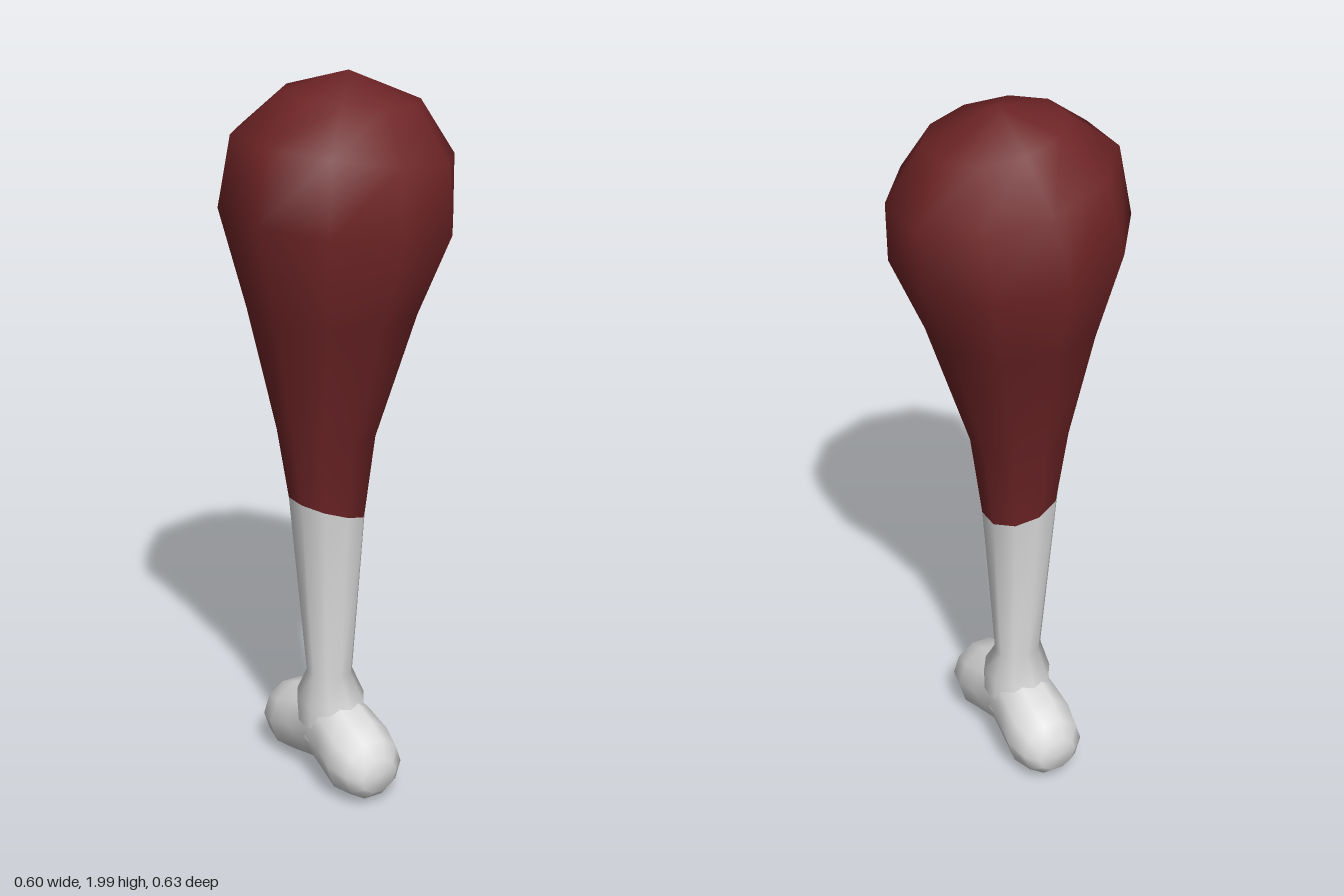
import * as THREE from 'three';
import { mergeVertices } from 'three/addons/utils/BufferGeometryUtils.js';

const SIDES = 10;

// Smooth closed skin through a list of rings; ringPoint(ring, angle) gives [x, y, z]
function loft(rings, ringPoint) {
  const positions = [], index = [];
  rings.forEach((ring, r) => {
    for (let i = 0; i < SIDES; i++) {
      positions.push(...ringPoint(ring, (i / SIDES) * Math.PI * 2));
      if (r === rings.length - 1) continue;
      const a = r * SIDES + i, b = r * SIDES + (i + 1) % SIDES;
      index.push(a, a + SIDES, b, b, a + SIDES, b + SIDES);
    }
  });
  let geometry = new THREE.BufferGeometry();
  geometry.setAttribute('position', new THREE.Float32BufferAttribute(positions, 3));
  geometry.setIndex(index);
  geometry = mergeVertices(geometry, 1e-5);
  geometry.computeVertexNormals();
  return geometry;
}

// Upright ring [y, centre x, half width x, half depth z, tilt]; tilt raises the -x side
const upright = ([y, cx, rx, rz, tilt], angle) => {
  const a = angle + Math.PI / SIDES;
  return [cx + rx * Math.cos(a) * 1.03, y - tilt * Math.cos(a), rz * Math.sin(a)];
};

// Ring across the knuckle [z, centre x, half width x, bottom y, top y]
const across = ([z, cx, rx, y0, y1], a) =>
  [cx + rx * Math.cos(a), (y0 + y1) / 2 + (y1 - y0) / 2 * Math.sin(a) * 1.03, z];

export function createModel() {
  const group = new THREE.Group();
  const meatColour = new THREE.MeshStandardMaterial({ color: 0x6e2426 });
  meatColour.name = 'roastedBrown';
  const boneColour = new THREE.MeshStandardMaterial({ color: 0xdcdcdc });
  boneColour.name = 'boneWhite';

  const add = (name, geometry, material) => {
    const mesh = new THREE.Mesh(geometry, material);
    mesh.name = name;
    group.add(mesh);
  };

  // Meat: narrow cuff swelling to a rounded, slightly tilted top
  add('meat', loft([
    [0.82, -0.047, 0.102, 0.105, 0.035],
    [1.04, -0.047, 0.133, 0.133, 0.015],
    [1.39, -0.025, 0.225, 0.23, 0.005],
    [1.63, -0.015, 0.302, 0.315, 0.04],
    [1.81, 0.006, 0.292, 0.265, 0.05],
    [1.935, 0.028, 0.182, 0.165, 0.025],
    [2.0, 0.02, 0, 0, 0],
  ], upright), meatColour);

  // Bone shaft, flaring where it meets the knuckle
  add('boneShaft', loft([
    [0.12, -0.035, 0.085, 0.1, 0],
    [0.24, -0.037, 0.09, 0.105, 0],
    [0.32, -0.04, 0.064, 0.058, 0.005],
    [0.82, -0.047, 0.102, 0.105, 0.035],
  ], upright), boneColour);

  // Knuckle: two lobes joined by a saddle, mirrored front to back
  const lobe = [
    [0.25, -0.035, 0, 0.1, 0.1],
    [0.245, -0.035, 0.055, 0.05, 0.15],
    [0.215, -0.035, 0.09, 0.02, 0.192],
    [0.15, -0.035, 0.106, 0.003, 0.222],
    [0.08, -0.035, 0.098, 0.02, 0.25],
  ];
  const saddle = [0, -0.035, 0.088, 0.038, 0.27];
  const back = lobe.map(([z, ...rest]) => [-z, ...rest]).reverse();
  add('boneKnuckle', loft([...lobe, saddle, ...back], across), boneColour);

  return group;
}
